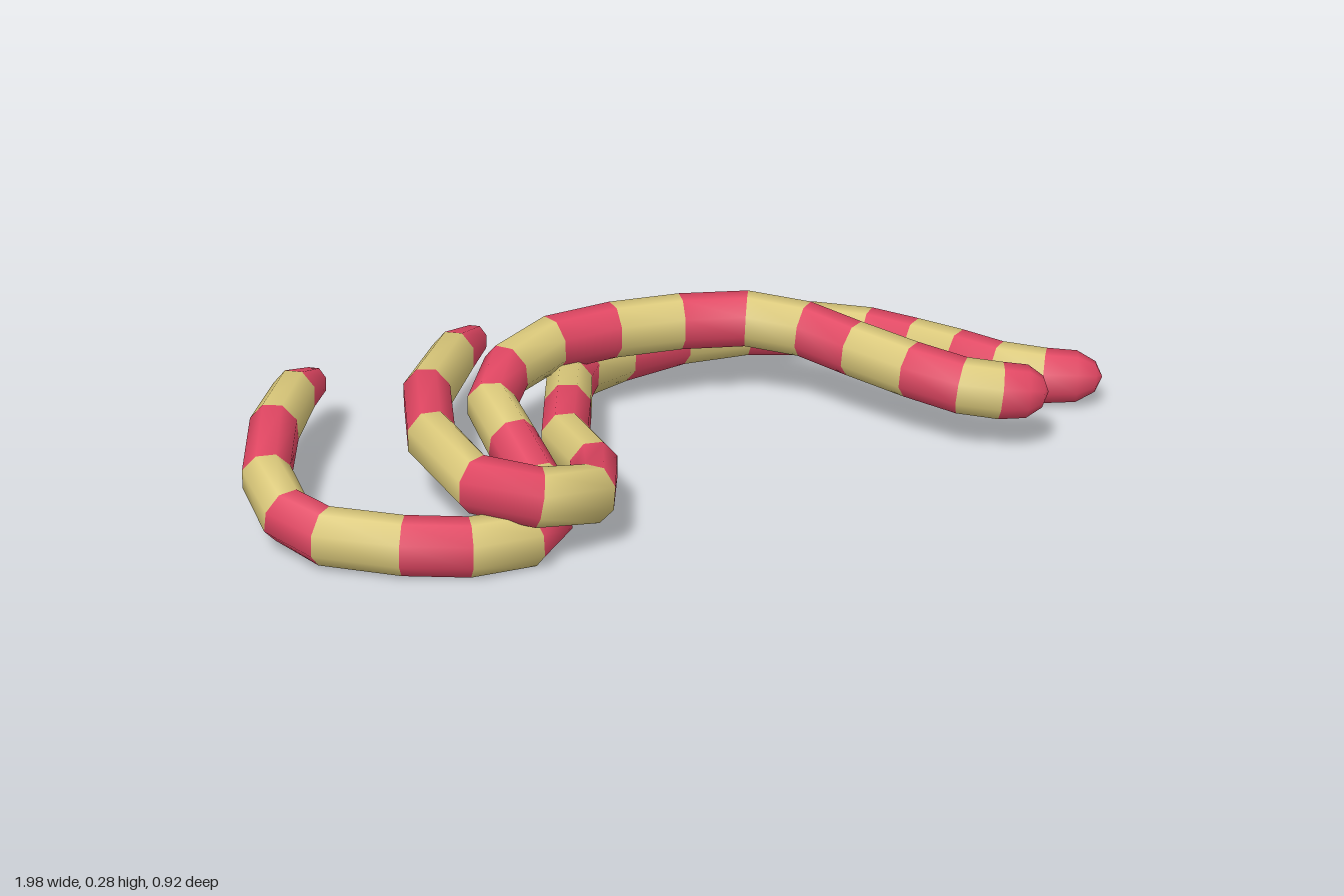
import * as THREE from 'three';

const SIDES = 8, HALF_WIDTH = 0.056, HALF_HEIGHT = 0.066;
const RED = new THREE.MeshStandardMaterial({ color: 0xe04662 });
const TAN = new THREE.MeshStandardMaterial({ color: 0xdac87a });

// Spine points [x, y, z] from nose tip to tail tip; each gap is one coloured band
const LOWER = [
  [0.985, 0.08, 0.285], [0.87, 0.08, 0.22], [0.795, 0.08, 0.14], [0.745, 0.08, 0.04],
  [0.685, 0.08, -0.06], [0.62, 0.08, -0.16], [0.515, 0.08, -0.25], [0.375, 0.083, -0.315],
  [0.21, 0.083, -0.34], [0.04, 0.085, -0.315], [-0.1, 0.1, -0.25], [-0.165, 0.115, -0.16],
  [-0.235, 0.13, -0.02], [-0.305, 0.135, 0.115], [-0.305, 0.13, 0.26], [-0.365, 0.14, 0.38],
  [-0.5, 0.175, 0.405], [-0.6, 0.185, 0.31], [-0.6, 0.185, 0.07], [-0.53, 0.19, -0.12],
  [-0.39, 0.178, -0.3], [-0.255, 0.13, -0.465],
];
const UPPER = [
  [0.742, 0.155, 0.425], [0.645, 0.16, 0.38], [0.57, 0.17, 0.335], [0.5, 0.18, 0.23],
  [0.43, 0.19, 0.095], [0.365, 0.205, -0.02], [0.265, 0.213, -0.115], [0.12, 0.215, -0.165],
  [-0.04, 0.217, -0.19], [-0.2, 0.22, -0.18], [-0.34, 0.21, -0.115], [-0.42, 0.185, -0.02],
  [-0.425, 0.15, 0.1], [-0.425, 0.105, 0.23], [-0.445, 0.075, 0.325], [-0.51, 0.066, 0.37],
  [-0.64, 0.07, 0.36], [-0.765, 0.075, 0.3], [-0.9, 0.08, 0.195], [-0.945, 0.09, 0.09],
  [-0.945, 0.13, -0.02], [-0.87, 0.16, -0.17], [-0.775, 0.165, -0.3], [-0.675, 0.13, -0.415],
];

// Lofts a striped body along the spine, with a rounded nose and a pointed tail
function snakeBody(points, name) {
  const p = points.map((c) => new THREE.Vector3(...c));
  const n = p.length;
  const rings = [];
  const add = (c, t, scale, band) => rings.push({ c, t: t.clone().normalize(), scale, band });

  const noseDir = p[1].clone().sub(p[0]);
  for (const [k, s] of [[0, 0.02], [0.12, 0.55], [0.45, 0.93]])
    add(p[0].clone().lerp(p[1], k), noseDir, s, 0);
  for (let i = 1; i < n - 1; i++) {
    const before = p[i].clone().sub(p[i - 1]).normalize();
    const after = p[i + 1].clone().sub(p[i]).normalize();
    add(p[i], before.add(after), i === n - 2 ? 0.92 : 1, i);
  }
  const tailDir = p[n - 1].clone().sub(p[n - 2]);
  for (const [k, s] of [[0.8, 0.58], [1, 0.06]])
    add(p[n - 2].clone().lerp(p[n - 1], k), tailDir, s, n - 2);

  // Oval ring square to the spine
  const pos = [];
  for (const { c, t, scale } of rings) {
    const side = new THREE.Vector3().crossVectors(t, new THREE.Vector3(0, 1, 0)).normalize();
    const up = new THREE.Vector3().crossVectors(side, t);
    for (let j = 0; j < SIDES; j++) {
      const a = ((j + 0.5) / SIDES) * Math.PI * 2;
      const v = c.clone()
        .addScaledVector(side, Math.cos(a) * HALF_WIDTH * scale)
        .addScaledVector(up, Math.sin(a) * HALF_HEIGHT * scale);
      pos.push(v.x, v.y, v.z);
    }
  }

  // Faces, one material group per strip so that the bands alternate
  const geo = new THREE.BufferGeometry();
  const index = [];
  const cap = (r, flip) => {
    const b = r * SIDES;
    geo.addGroup(index.length, (SIDES - 2) * 3, 0);
    for (let j = 1; j < SIDES - 1; j++)
      index.push(b, b + (flip ? j + 1 : j), b + (flip ? j : j + 1));
  };
  cap(0, false);
  for (let r = 0; r < rings.length - 1; r++) {
    geo.addGroup(index.length, SIDES * 6, rings[r].band % 2);
    for (let j = 0; j < SIDES; j++) {
      const a = r * SIDES + j, b = r * SIDES + ((j + 1) % SIDES);
      index.push(a, a + SIDES, b, b, a + SIDES, b + SIDES);
    }
  }
  cap(rings.length - 1, true);
  geo.setAttribute('position', new THREE.Float32BufferAttribute(pos, 3));
  geo.setIndex(index);
  geo.computeVertexNormals();

  const mesh = new THREE.Mesh(geo, [RED, TAN]);
  mesh.name = name;
  return mesh;
}

export function createModel() {
  const group = new THREE.Group();
  group.name = 'stripedSnakes';
  group.add(snakeBody(LOWER, 'lowerSnake'), snakeBody(UPPER, 'upperSnake'));
  return group;
}
